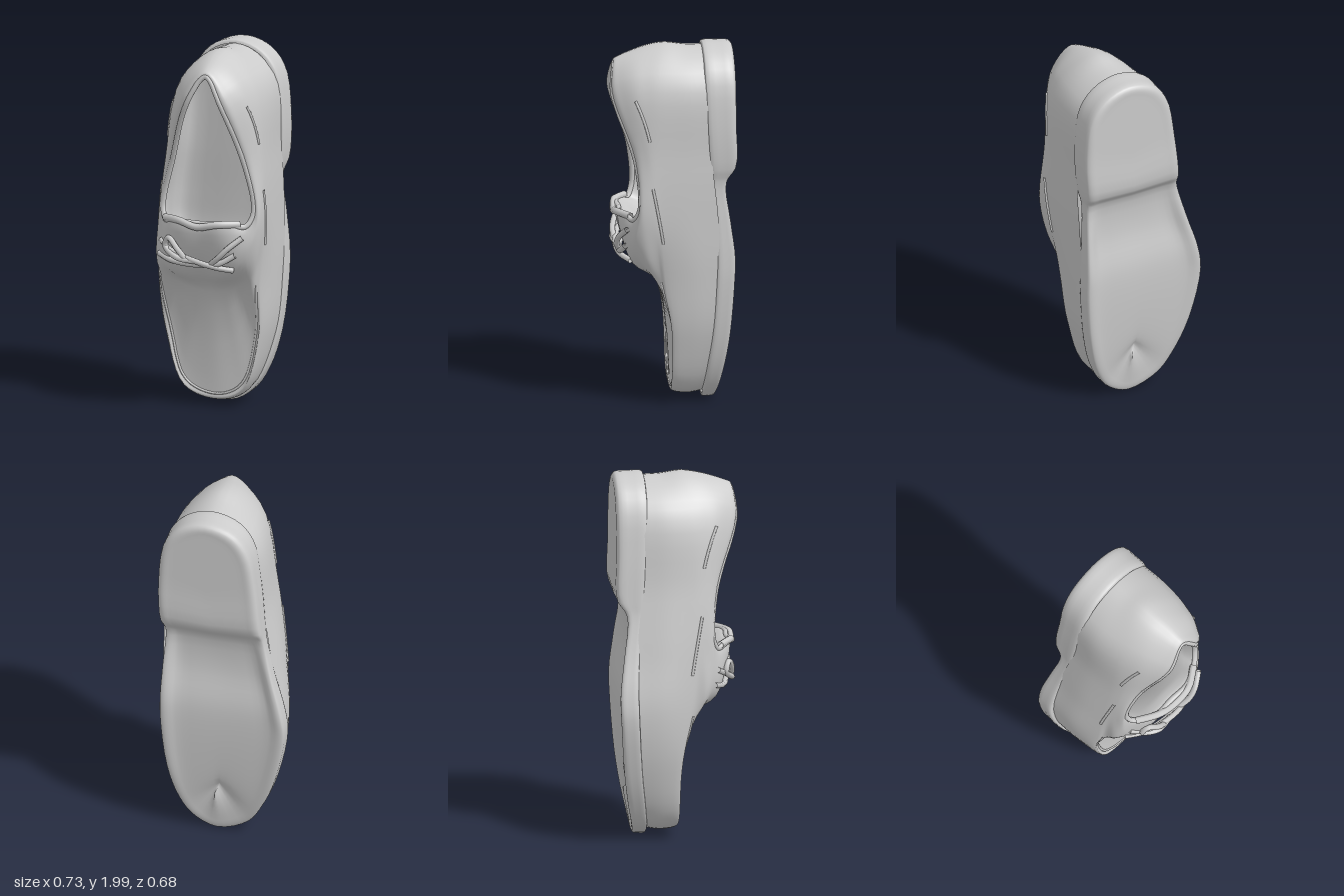
import * as THREE from 'three';
import { mergeVertices } from 'three/addons/utils/BufferGeometryUtils.js';

const V = (x, y, z) => new THREE.Vector3(x, y, z);
const { smoothstep } = THREE.MathUtils;
const material = new THREE.MeshStandardMaterial({ color: 0xcccccc, side: THREE.DoubleSide });

// Closed outline: toe and heel are [x, y, z]; rows run toe to heel as [y, xRight, xLeft, z, zLeft if different]
function ring(toe, rows, heel) {
  const pts = [V(...toe), ...rows.map(([y, , l, z, zl = z]) => V(l, y, zl)), V(...heel),
    ...rows.map(([y, r, , z]) => V(r, y, z)).reverse()];
  return new THREE.CatmullRomCurve3(pts, true, 'centripetal');
}

// Smooth skin through a stack of outlines, with `steps` bands between neighbours
function loft(rings, around, steps) {
  const columns = [];
  for (let i = 0; i < around; i++)
    columns.push(new THREE.CatmullRomCurve3(rings.map(r => r.getPoint(i / around)), false, 'centripetal'));
  const levels = (rings.length - 1) * steps, pos = [], index = [];
  for (let j = 0; j <= levels; j++)
    for (const c of columns) pos.push(...c.getPoint(j / levels).toArray());
  for (let j = 0; j < levels; j++)
    for (let i = 0; i < around; i++) {
      const n = (i + 1) % around, a = j * around, b = a + around;
      index.push(a + i, a + n, b + n, a + i, b + n, b + i);
    }
  const g = new THREE.BufferGeometry();
  g.setAttribute('position', new THREE.Float32BufferAttribute(pos, 3));
  g.setIndex(index);
  const welded = mergeVertices(g, 1e-4); // joins the two halves along the middle line
  welded.computeVertexNormals();
  return welded;
}

function tube(points, radius, closed = false) {
  const curve = new THREE.CatmullRomCurve3(points, closed, 'centripetal');
  return new THREE.TubeGeometry(curve, points.length * 6, radius, 7, closed);
}

export function createModel() {
  const shoe = new THREE.Group();
  const add = (name, geometry) => {
    const mesh = new THREE.Mesh(geometry, material);
    mesh.name = name;
    shoe.add(mesh);
  };

  // Sole: [y, xRight, xLeft, bottom z, top z], with a step where the heel block begins
  const soleRows = [
    [0.07, -0.14, 0.16, -0.25, -0.165], [0.2, -0.23, 0.24, -0.275, -0.18],
    [0.4, -0.31, 0.295, -0.305, -0.205], [0.7, -0.37, 0.325, -0.328, -0.225],
    [0.85, -0.352, 0.325, -0.333, -0.228], [1.05, -0.295, 0.315, -0.308, -0.22],
    [1.26, -0.245, 0.305, -0.283, -0.2], [1.35, -0.235, 0.325, -0.332, -0.19],
    [1.6, -0.21, 0.335, -0.332, -0.175], [1.84, -0.165, 0.3, -0.332, -0.165],
    [1.95, -0.08, 0.21, -0.332, -0.165],
  ];
  // The underside is gently hollowed beneath the ball and the arch
  const hollow = y => 0.02 * smoothstep(y, 0.1, 0.6) * (1 - smoothstep(y, 1.1, 1.35))
    + 0.025 * Math.exp(-(((y - 1) / 0.17) ** 2));
  const soleRing = (scale, t, depth = 0) => ring(
    [0.03, 0.005 + (1 - scale) * 0.25, -0.236 + t * 0.07 - (1 - scale) * 0.045],
    soleRows.map(([y, r, l, b, top]) => {
      const mid = (r + l) / 2, half = (l - r) / 2 * scale, d = y - 1;
      return [1 + d * (1 - (1 - scale) * 0.28 * d * d), mid - half, mid + half, b + (top - b) * t + depth * hollow(y)];
    }),
    [0.07, 1.995 - (1 - scale) * 0.25, -0.332 + t * 0.167]);
  add('sole', loft([soleRing(0, 0, 1.1), soleRing(0.4, 0, 1.05), soleRing(0.74, 0, 0.9), soleRing(0.9, 0, 0.2),
    soleRing(0.985, 0.1), soleRing(1, 0.5), soleRing(0.995, 0.95), soleRing(0.93, 1)], 88, 3));

  // Upper: outlines climb the outer wall, cross the apron and roll over the collar
  const feather = ring([0.03, 0.045, -0.185], [[0.1, -0.15, 0.165, -0.19], [0.4, -0.295, 0.285, -0.22],
    [0.74, -0.345, 0.317, -0.24], [1.05, -0.29, 0.325, -0.235], [1.4, -0.225, 0.325, -0.2],
    [1.83, -0.155, 0.29, -0.18]], [0.07, 1.975, -0.18]);
  const wall = ring([0.03, 0.03, -0.08], [[0.09, -0.16, 0.175, -0.08], [0.4, -0.29, 0.29, -0.09],
    [0.74, -0.338, 0.325, -0.09], [1.05, -0.3, 0.338, -0.07], [1.4, -0.235, 0.335, -0.06],
    [1.83, -0.16, 0.295, -0.06]], [0.07, 1.98, -0.07]);
  const shoulder = ring([0.03, 0.05, 0], [[0.11, -0.165, 0.18, 0.005], [0.4, -0.262, 0.275, 0.01],
    [0.72, -0.29, 0.305, 0.05], [1.05, -0.275, 0.345, 0.07], [1.4, -0.225, 0.34, 0.08],
    [1.83, -0.14, 0.285, 0.08]], [0.07, 1.995, 0.03]);
  const apronEdge = ring([0.03, 0.075, 0], [[0.14, -0.155, 0.17, -0.005], [0.42, -0.24, 0.255, 0],
    [0.73, -0.27, 0.29, 0.075], [1.06, -0.26, 0.35, 0.11], [1.4, -0.215, 0.338, 0.13],
    [1.83, -0.12, 0.27, 0.15]], [0.07, 1.983, 0.12]);
  const vampTop = ring([0.02, 0.65, 0.065], [[0.66, -0.07, 0.1, 0.07], [0.69, -0.16, 0.18, 0.075],
    [0.77, -0.255, 0.28, 0.13], [1.07, -0.25, 0.352, 0.14, 0.16], [1.4, -0.205, 0.33, 0.16],
    [1.82, -0.095, 0.255, 0.22]], [0.08, 1.96, 0.2]);
  const throat = ring([0.02, 0.78, 0.185], [[0.78, -0.09, 0.12, 0.205], [0.8, -0.17, 0.2, 0.205, 0.215],
    [0.88, -0.235, 0.29, 0.185, 0.21], [1.09, -0.24, 0.35, 0.17, 0.185], [1.4, -0.185, 0.315, 0.195],
    [1.8, -0.06, 0.225, 0.285]], [0.085, 1.935, 0.27]);
  const tongue = ring([0.04, 0.93, 0.265], [[0.93, -0.09, 0.15, 0.265, 0.27], [0.94, -0.16, 0.22, 0.25, 0.265],
    [0.97, -0.215, 0.3, 0.205, 0.23], [1.11, -0.23, 0.342, 0.185, 0.195], [1.4, -0.165, 0.298, 0.21],
    [1.77, -0.035, 0.205, 0.325]], [0.09, 1.915, 0.31]);
  const collar = ring([0.04, 1.075, 0.28], [[1.08, -0.06, 0.15, 0.285], [1.08, -0.13, 0.22, 0.26],
    [1.065, -0.185, 0.283, 0.21, 0.22], [1.14, -0.21, 0.32, 0.182, 0.187], [1.4, -0.143, 0.278, 0.21],
    [1.75, -0.012, 0.18, 0.322]], [0.09, 1.895, 0.305]);
  const lining = ring([0.04, 1.05, 0.2], [[1.05, -0.06, 0.15, 0.2], [1.05, -0.13, 0.22, 0.19],
    [1.05, -0.19, 0.28, 0.15], [1.14, -0.212, 0.315, 0.12], [1.4, -0.165, 0.295, 0.13],
    [1.77, -0.05, 0.205, 0.22]], [0.09, 1.9, 0.2]);
  const insoleEdge = ring([0.03, 0.78, -0.07], [[0.8, -0.1, 0.13, -0.09], [0.87, -0.2, 0.22, -0.11],
    [0.98, -0.24, 0.28, -0.13], [1.14, -0.235, 0.305, -0.13], [1.4, -0.195, 0.3, -0.12],
    [1.8, -0.12, 0.25, -0.11]], [0.08, 1.94, -0.11]);
  const insoleSpine = ring([0.03, 0.87, -0.11], [[0.89, 0.025, 0.025, -0.12], [0.93, 0.025, 0.025, -0.14],
    [1.0, 0.035, 0.035, -0.15], [1.14, 0.045, 0.045, -0.15], [1.4, 0.055, 0.055, -0.14],
    [1.8, 0.07, 0.07, -0.125]], [0.08, 1.88, -0.115]);
  const layers = [feather, wall, shoulder, apronEdge, vampTop, throat, tongue, collar, lining, insoleEdge, insoleSpine];
  add('upper', loft(layers, 84, 4));

  // Piping around the opening
  const along = (path, from, to, n) =>
    Array.from({ length: n + 1 }, (_, i) => path.getPoint((from + (to - from) * i / n + 1) % 1));
  add('collarPiping', tube(collar.getPoints(42).slice(0, -1), 0.015, true));

  // Apron seam over the toe, from one side of the lacing to the other
  add('apronSeam', tube(along(apronEdge, -0.21, 0.21, 20), 0.007));

  // Slanting lace strips on both sides
  for (const mirror of [false, true])
    for (const [low, high, from, to] of [[shoulder, apronEdge, 0.262, 0.327], [apronEdge, vampTop, 0.375, 0.41]]) {
      const pts = [];
      for (let i = 0; i <= 4; i++) {
        const s = from + (to - from) * i / 4, t = mirror ? 1 - s : s;
        pts.push(low.getPoint(t).lerp(high.getPoint(t), i / 4));
      }
      add('sideLace', tube(pts, 0.008));
    }

  // Lacing tied across the throat: crossing strands, loop and loose ends
  const strands = {
    lowerStrand: [[-0.23, 0.87, 0.19], [-0.13, 0.85, 0.245], [0.02, 0.845, 0.275], [0.15, 0.86, 0.28], [0.24, 0.91, 0.26]],
    upperStrand: [[-0.21, 0.95, 0.21], [-0.13, 0.91, 0.265], [0.02, 0.87, 0.295], [0.14, 0.84, 0.28], [0.22, 0.82, 0.23]],
    bowLoop: [[0.02, 0.865, 0.29], [-0.08, 0.88, 0.3], [-0.165, 0.93, 0.26], [-0.14, 0.98, 0.275], [-0.08, 0.93, 0.3], [-0.03, 0.87, 0.295]],
    looseEnd: [[0.1, 0.85, 0.28], [0.16, 0.9, 0.3], [0.21, 0.95, 0.295], [0.28, 1.01, 0.255]],
  };
  for (const [name, pts] of Object.entries(strands)) add(name, tube(pts.map(p => V(...p)), 0.016));

  // Raised tongue lip standing above the lacing
  const lip = [[-0.18, 1.08, 0.225], [-0.07, 1.085, 0.29], [0.04, 1.06, 0.305], [0.15, 1.08, 0.3], [0.26, 1.08, 0.235]];
  add('tongueLip', tube(lip.map(p => V(...p)), 0.02));

  return shoe;
}
